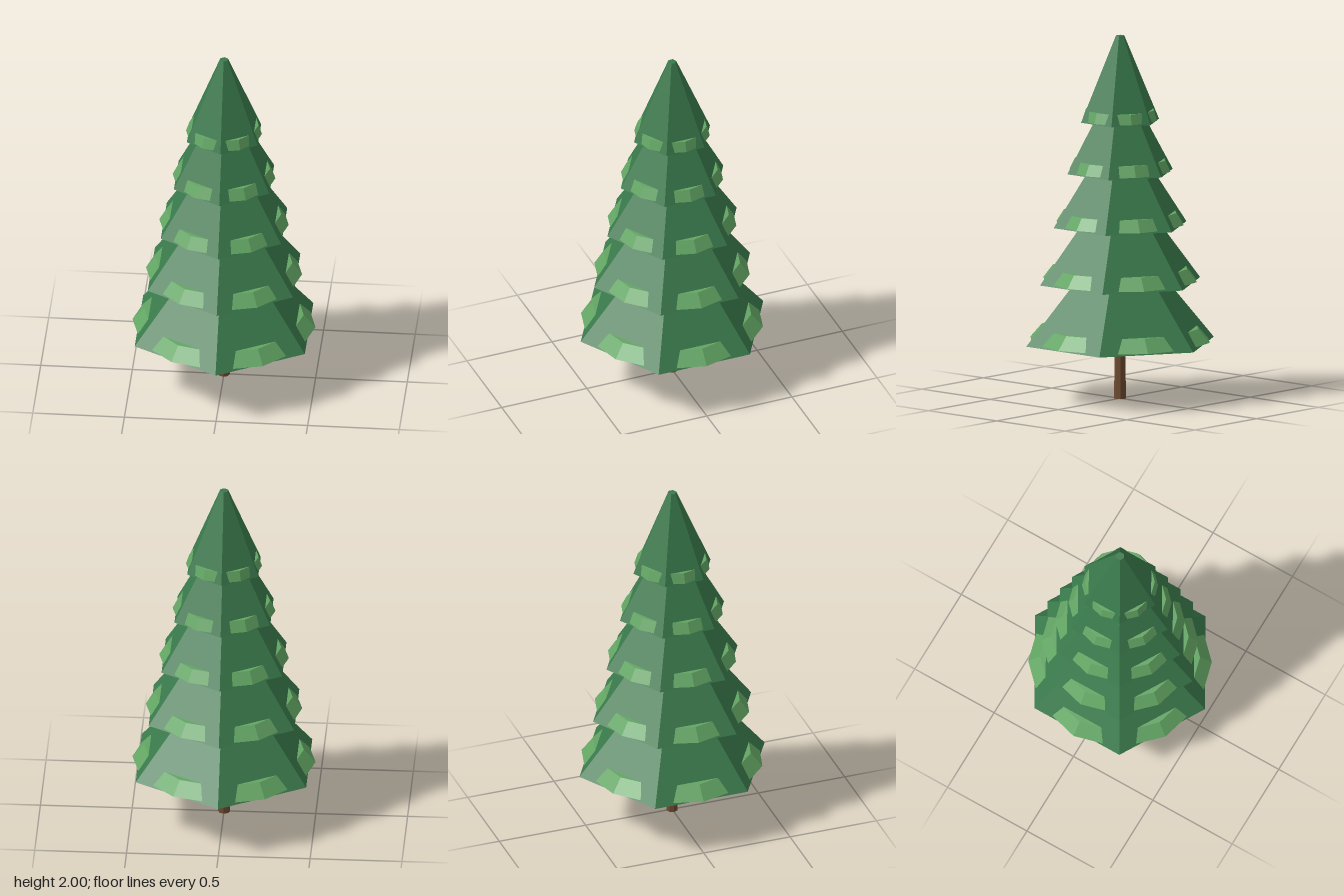
import * as THREE from 'three';

const material = (name, color) => {
  const m = new THREE.MeshStandardMaterial({ color, flatShading: true });
  m.name = name;
  return m;
};

export function createModel() {
  const needleGreen = material('needleGreen', 0x3a7a4c);
  const tipGreen = material('tipGreen', 0x62a563);
  const bark = material('bark', 0x6e4a30);
  const darkBark = material('darkBark', 0x4a2f1e);

  const tree = new THREE.Group();
  tree.name = 'pineTree';

  // Frustum standing on height y
  const addFrustum = (name, mat, rTop, rBottom, height, sides, y) => {
    const mesh = new THREE.Mesh(new THREE.CylinderGeometry(rTop, rBottom, height, sides), mat);
    mesh.name = name;
    mesh.position.y = y + height / 2;
    tree.add(mesh);
    return mesh;
  };

  addFrustum('trunk', bark, 0.026, 0.033, 0.4, 8, 0);

  // Twig stub on the front right of the trunk
  const from = new THREE.Vector3(-0.012, 0.168, 0.012);
  const to = new THREE.Vector3(-0.052, 0.2, 0.052);
  const direction = to.clone().sub(from);
  const twig = new THREE.Mesh(new THREE.CylinderGeometry(0.004, 0.008, direction.length(), 5), darkBark);
  twig.name = 'twig';
  twig.position.copy(from).add(to).multiplyScalar(0.5);
  twig.quaternion.setFromUnitVectors(new THREE.Vector3(0, 1, 0), direction.normalize());
  tree.add(twig);

  // Five six-sided tiers, each with a twelve-sided ring of lighter tips
  const tierBase = [0.312, 0.645, 0.957, 1.25, 1.53];
  tierBase.forEach((y, i) => {
    const radius = 0.536 - 0.0783 * i;
    const height = i === 4 ? 0.47 : 0.62 - 0.037 * i;
    addFrustum('foliageTier' + (i + 1), needleGreen, 0.024, radius, height, 6, y);
    addFrustum('branchTips' + (i + 1), tipGreen, 0.435 - 0.0615 * i, 0.499 - 0.073 * i,
      0.074 - 0.0045 * i, 12, y + 0.011 - 0.001 * i);
  });

  return tree;
}
